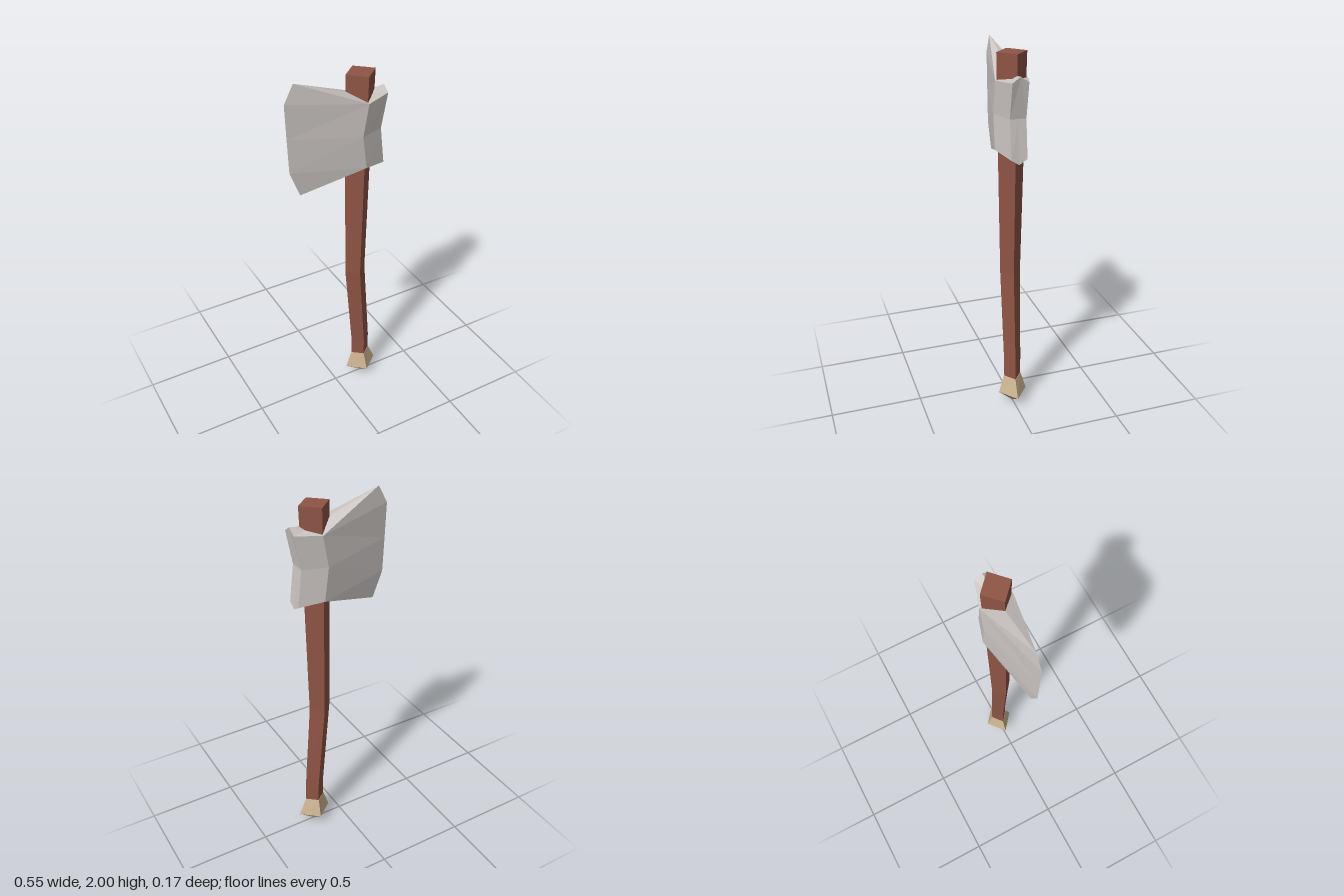
import * as THREE from 'three';

const wood = new THREE.MeshStandardMaterial({ color: 0x8f5545, flatShading: true });
wood.name = 'brown wood';
const metal = new THREE.MeshStandardMaterial({ color: 0xcbc5c2, flatShading: true });
metal.name = 'grey metal';
const bone = new THREE.MeshStandardMaterial({ color: 0xcdb491, flatShading: true });
bone.name = 'tan bone';

// Faceted mesh from a list of [a, b, c] corners, skipping collapsed triangles
function facetMesh(name, triangles, material) {
  const kept = triangles.filter(([a, b, c]) => {
    const [p, q, r] = [a, b, c].map((v) => new THREE.Vector3(...v));
    return q.sub(p).cross(r.sub(p)).length() > 1e-7;
  });
  const geometry = new THREE.BufferGeometry();
  geometry.setAttribute('position', new THREE.Float32BufferAttribute(kept.flat(2), 3));
  geometry.computeVertexNormals();
  const mesh = new THREE.Mesh(geometry, material);
  mesh.name = name;
  return mesh;
}

// Diamond cross-sections [y, centre x, half width, half depth], lofted bottom to top
function diamondLoft(name, sections, material) {
  const rings = sections.map(([y, x, w, d]) => [[x + w, y, 0], [x, y, d], [x - w, y, 0], [x, y, -d]]);
  const tris = [];
  for (let i = 0; i < rings.length - 1; i++) {
    for (let k = 0; k < 4; k++) {
      const n = (k + 1) % 4;
      const a = rings[i][k], b = rings[i][n], c = rings[i + 1][k], d = rings[i + 1][n];
      tris.push([a, c, b], [b, c, d]);
    }
  }
  const lo = rings[0], hi = rings[rings.length - 1];
  tris.push([hi[0], hi[2], hi[1]], [hi[0], hi[3], hi[2]]);
  tris.push([lo[0], lo[1], lo[2]], [lo[0], lo[2], lo[3]]);
  return facetMesh(name, tris, material);
}

function axeHead() {
  // Columns from cutting edge to back, each listed top to bottom
  const edge = [[-0.225, 2.0, 0], [-0.275, 1.905, 0], [-0.268, 1.72, 0], [-0.26, 1.535, 0], [-0.205, 1.395, 0]];
  const spread = ([top, mid, low]) => [top, top, mid, low, low];
  const cheek = spread([[0.137, 1.85, 0.085], [0.107, 1.68, 0.085], [0.13, 1.5, 0.085]]);
  const poll = spread([[0.27, 1.862, 0.042], [0.235, 1.68, 0.042], [0.258, 1.48, 0.042]]);
  const back = spread([[0.27, 1.892, 0], [0.235, 1.68, 0], [0.258, 1.453, 0]]);
  const columns = [edge, cheek, poll, back];
  const half = [];
  for (let c = 0; c < 3; c++) {
    for (let r = 0; r < 4; r++) {
      const a = columns[c][r], b = columns[c + 1][r], d = columns[c][r + 1], e = columns[c + 1][r + 1];
      half.push([a, d, b], [b, d, e]);
    }
  }
  // Top and bottom faces meet along a centre ridge
  const topMid = [0.137, 1.87, 0], lowMid = [0.13, 1.473, 0];
  for (let c = 0; c < 3; c++) {
    half.push([columns[c][0], columns[c + 1][0], topMid]);
    half.push([columns[c + 1][4], columns[c][4], lowMid]);
  }
  // Mirror across z
  const flip = ([x, y, z]) => [x, y, -z];
  const mirrored = half.map(([a, b, c]) => [flip(a), flip(c), flip(b)]);
  return facetMesh('axeHead', [...half, ...mirrored], metal);
}

export function createModel() {
  const axe = new THREE.Group();
  axe.name = 'axe';
  axe.add(
    diamondLoft('handle', [
      [0.16, 0.168, 0.057, 0.047],
      [0.28, 0.167, 0.057, 0.048],
      [0.81, 0.124, 0.062, 0.056],
      [1.45, 0.128, 0.073, 0.068],
      [1.985, 0.136, 0.084, 0.078],
    ], wood),
    diamondLoft('pommel', [
      [0.005, 0.175, 0, 0],
      [0.073, 0.173, 0.097, 0.08],
      [0.175, 0.168, 0.058, 0.05],
    ], bone),
    axeHead(),
  );
  return axe;
}
